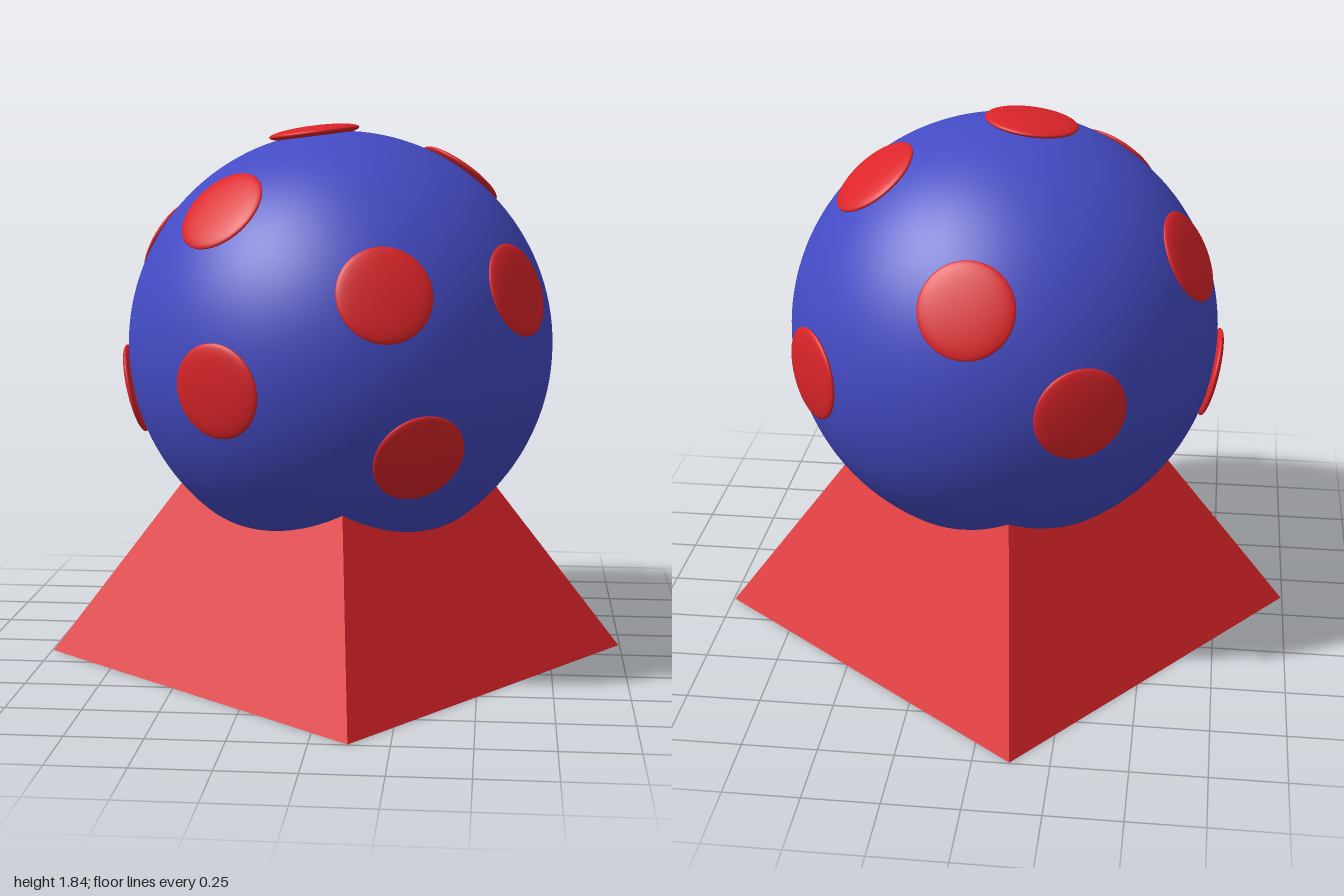
import * as THREE from 'three';

const RED = new THREE.MeshStandardMaterial({ color: 0xdc2429 });
const BLUE = new THREE.MeshStandardMaterial({ color: 0x444bc4 });
const FLAT_RED = new THREE.MeshStandardMaterial({ color: 0xdc2429, flatShading: true });

const BALL_RADIUS = 0.728;
const BALL_CENTER = new THREE.Vector3(0.012, 1.09, 0.003);

// Directions of the spots, seen from the ball's centre
const SPOTS = [
  [-0.09, 0.72, 0], [0.4, 0.575, -0.19],
  [-0.34, 0.47, 0.42], [-0.615, 0.335, -0.17],
  [0.04, 0.31, -0.65], [0.19, 0.23, 0.65],
  [0.59, 0.22, 0.34], [-0.315, -0.015, -0.66],
  [0.575, -0.018, -0.44], [-0.335, -0.075, 0.645],
  [-0.712, -0.16, 0.04], [0.305, -0.29, 0.61],
];

export function createModel() {
  const model = new THREE.Group();
  model.name = 'spottedBallOnPyramid';

  // Square pyramid; one corner turned a little off the front axis
  const pyramidHeight = 1.31;
  const pyramid = new THREE.Mesh(new THREE.ConeGeometry(1.003, pyramidHeight, 4), FLAT_RED);
  pyramid.name = 'pyramidBase';
  pyramid.position.y = pyramidHeight / 2;
  pyramid.rotation.y = Math.atan2(0.12, 0.995);
  model.add(pyramid);

  // Ball sunk over the pyramid's tip
  const ball = new THREE.Mesh(new THREE.SphereGeometry(BALL_RADIUS, 96, 64), BLUE);
  ball.name = 'ball';
  ball.position.copy(BALL_CENTER);
  model.add(ball);

  // Lens-shaped spots lying on the ball
  const spots = new THREE.Group();
  spots.name = 'spots';
  const spotGeometry = new THREE.SphereGeometry(0.155, 40, 24).scale(1, 0.15, 1);
  const up = new THREE.Vector3(0, 1, 0);
  SPOTS.forEach((p, i) => {
    const direction = new THREE.Vector3(...p).normalize();
    const spot = new THREE.Mesh(spotGeometry, RED);
    spot.name = `spot${i + 1}`;
    spot.position.copy(BALL_CENTER).addScaledVector(direction, BALL_RADIUS);
    spot.quaternion.setFromUnitVectors(up, direction);
    spots.add(spot);
  });
  model.add(spots);

  return model;
}
